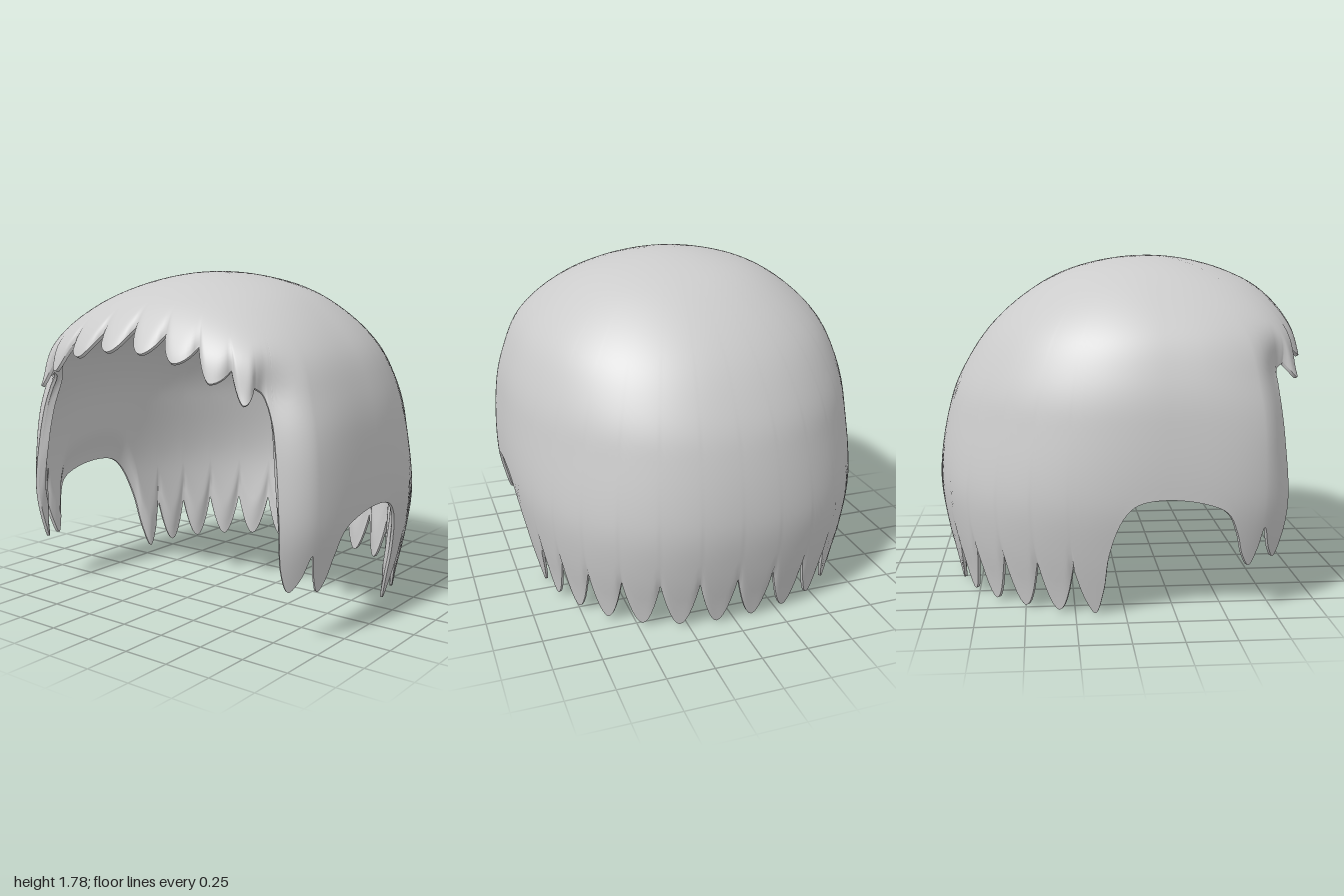
import * as THREE from 'three';

const TOP = 1.78, CZ = 0.19, ROWS = 44, RAD = Math.PI / 180;
const { smoothstep, lerp } = THREE.MathUtils;

// Dome profile by height: [y, half width, depth behind crown, depth in front of crown]
const PROFILE = [
  [1.78, 0, 0, 0], [1.76, 0.22, 0.22, 0.22], [1.7, 0.445, 0.445, 0.435],
  [1.6, 0.63, 0.635, 0.62], [1.4, 0.84, 0.87, 0.765], [1.2, 0.935, 1.01, 0.79],
  [1.0, 0.98, 1.1, 0.8], [0.6, 1.0, 1.17, 0.8], [0.3, 0.955, 1.135, 0.735], [0, 0.89, 1.06, 0.66],
];
const KEYS = PROFILE.map((p) => Math.sqrt(TOP - p[0]));

// Smooth interpolation of a profile column; w = sqrt(distance below the crown)
function profile(w, c) {
  const last = KEYS.length - 1;
  let i = 0;
  while (i < last - 1 && w > KEYS[i + 1]) i++;
  const slope = (k) => {
    const a = Math.max(k - 1, 0), b = Math.min(k + 1, last);
    return (PROFILE[b][c] - PROFILE[a][c]) / (KEYS[b] - KEYS[a]);
  };
  const h = KEYS[i + 1] - KEYS[i], t = (w - KEYS[i]) / h, t2 = t * t, t3 = t2 * t;
  return (2 * t3 - 3 * t2 + 1) * PROFILE[i][c] + (t3 - 2 * t2 + t) * h * slope(i)
    + (3 * t2 - 2 * t3) * PROFILE[i + 1][c] + (t3 - t2) * h * slope(i + 1);
}

// Inward curl of the side lock along the face opening
function curl(a, y) {
  const deg = Math.min(a, 2 * Math.PI - a) / RAD;
  const across = smoothstep(deg, 46, 51) * (1 - smoothstep(deg, 51, 63));
  return across * (0.06 * smoothstep(y, 0.3, 1.0) * (1 - smoothstep(y, 1.2, 1.45)));
}

// Point on the dome at angle a (0 = front, towards +x), with a radial bump
function domePoint(a, w, bump) {
  if (w < 1e-6) return new THREE.Vector3(0, TOP, CZ);
  const s = Math.abs(Math.sin(a)), c = Math.cos(a), y = TOP - w * w;
  const n = c > 0
    ? 2 + 1.2 * smoothstep(w, 0.2, 0.75) + 0.6 * smoothstep(w, 0.75, 0.95)
    : 2.1 + 0.25 * smoothstep(w, 0.9, 1.25);
  const X = profile(w, 1), D = profile(w, c > 0 ? 3 : 2);
  const r = Math.pow(Math.pow(s / X, n) + Math.pow(Math.abs(c) / D, n), -1 / n) + bump - curl(a, y);
  return new THREE.Vector3(Math.sin(a) * r, y, CZ + c * r);
}

// Pointed locks: marks alternate valley, tip, valley ... as [degrees, y]
function teeth(marks, valleyDepth, steps = 6) {
  const out = [];
  for (let i = 0; i < marks.length - 1; i++) {
    const fromValley = i % 2 === 0;
    const tip = marks[fromValley ? i + 1 : i], valley = marks[fromValley ? i : i + 1];
    for (let k = 0; k < steps; k++) {
      const u = k / steps, d = fromValley ? 1 - u : u;
      out.push({
        a: lerp(marks[i][0], marks[i + 1][0], u) * RAD,
        y: tip[1] + (valley[1] - tip[1]) * Math.pow(d, 1.9),
        bump: 0.01 - (valleyDepth + 0.01) * d * d,
      });
    }
  }
  return out;
}

// Hem outline from the middle of the fringe round to the nape, then mirrored
function hemLine() {
  const fringe = teeth([[0, 1.5], [8, 1.38], [16.3, 1.47], [22.3, 1.345], [30.5, 1.42],
    [34.5, 1.26], [41, 1.32], [44, 1.165], [47.5, 1.24]], 0.03);

  // side lock with two tips, then the arch over the ear
  const side = new THREE.CatmullRomCurve3([[47.5, 1.24], [50, 1.21], [51.8, 1.1], [52.4, 0.9],
    [52.6, 0.6], [53.5, 0.38], [56, 0.27], [59, 0.33], [61.8, 0.45], [63, 0.34],
    [65, 0.25], [67.5, 0.31], [69.8, 0.43], [73, 0.54], [79, 0.59], [90, 0.615],
    [98, 0.59], [102, 0.52], [106.3, 0.33], [108.5, 0.13], [111.5, 0], [114.3, 0.08],
    [117, 0.27]].map(([a, y]) => new THREE.Vector3(a * RAD, y, 0)));
  const sidePts = side.getPoints(110).slice(0, -1).map((p, i) => ({
    a: p.x, y: Math.max(p.y, 0), bump: -0.03 * Math.max(0, 1 - i / 8),
  }));

  const nape = [];
  for (let k = 0; k <= 6; k++) {
    nape.push([117 + k * 10.5, 0.26]);
    if (k < 6) nape.push([122.2 + k * 10.5, 0.01]);
  }
  const half = [...fringe, ...sidePts, ...teeth(nape, 0.015)];
  const mirrored = half.slice(1).reverse().map((p) => ({ ...p, a: 2 * Math.PI - p.a }));
  return [...half, { a: Math.PI, y: 0.26, bump: -0.015 }, ...mirrored];
}

// Closed strip surface from a ring of columns
function loft(columns, flip) {
  const n = columns.length, m = columns[0].length, pos = [], idx = [];
  columns.forEach((col) => col.forEach((p) => pos.push(p.x, p.y, p.z)));
  for (let i = 0; i < n; i++) {
    for (let j = 0; j < m - 1; j++) {
      const a = i * m + j, b = a + 1, d = ((i + 1) % n) * m + j, c = d + 1;
      if (flip) idx.push(a, c, b, a, d, c);
      else idx.push(a, b, c, a, c, d);
    }
  }
  const g = new THREE.BufferGeometry();
  g.setAttribute('position', new THREE.Float32BufferAttribute(pos, 3));
  g.setIndex(idx);
  g.computeVertexNormals();
  return g;
}

export function createModel() {
  const group = new THREE.Group();
  group.name = 'hair';
  const material = new THREE.MeshStandardMaterial({ color: 0xcccccc, roughness: 0.8 });

  // bumps between locks fade out a short way above the hem
  const outer = hemLine().map(({ a, y, bump }) => {
    const wHem = Math.sqrt(TOP - y);
    return Array.from({ length: ROWS + 1 }, (_, j) => {
      const w = wHem * j / ROWS, rise = wHem * wHem - w * w;
      return domePoint(a, w, bump * Math.max(0, 1 - rise / 0.16) ** 2);
    });
  });
  // inner skin shrinks towards the head and thins out to the hem
  const inner = outer.map((col) => col.map((p) => {
    const t = 0.05 * lerp(0.3, 1, smoothstep(p.y - col[ROWS].y, 0, 0.2));
    return new THREE.Vector3(p.x * (1 - t), p.y - Math.max(0, p.y - 0.7) * t, lerp(p.z, 0.1, t));
  }));
  const rim = outer.map((col, i) => [col[ROWS], inner[i][ROWS]]);

  const add = (name, geometry) => {
    const mesh = new THREE.Mesh(geometry, material);
    mesh.name = name;
    group.add(mesh);
    return geometry;
  };
  const crown = (geometry, up) => {
    const normal = geometry.attributes.normal;
    for (let i = 0; i < normal.count; i += ROWS + 1) normal.setXYZ(i, 0, up, 0);
  };
  crown(add('outerHair', loft(outer, false)), 1);
  crown(add('innerHair', loft(inner, true)), -1);
  add('hemEdge', loft(rim, false));
  return group;
}
